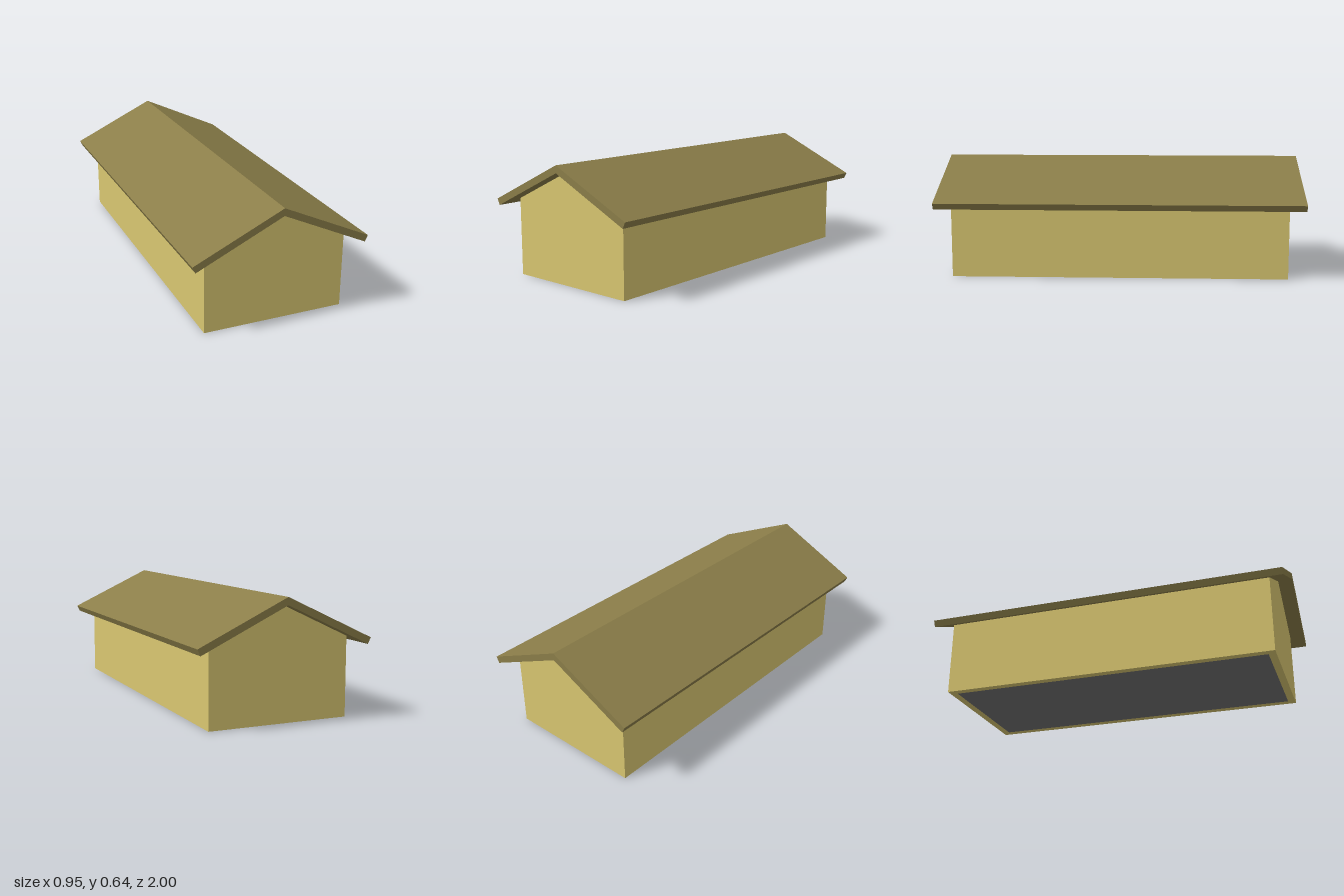
import * as THREE from 'three';

const WALL = 0xd9c771, ROOF = 0x8b7e49, FLOOR = 0x707070;
const HALF_W = 0.384, HALF_L = 0.92, THICK = 0.04;
const RIDGE = 0.6, SLOPE = 0.47;
const underRoof = (x) => RIDGE - SLOPE * Math.abs(x);

// Extrude an outline in the xy plane, centred on z
function prism(name, points, depth, color, z = 0) {
  const shape = new THREE.Shape(points.map(([x, y]) => new THREE.Vector2(x, y)));
  const geometry = new THREE.ExtrudeGeometry(shape, { depth, bevelEnabled: false });
  geometry.translate(0, 0, z - depth / 2);
  const mesh = new THREE.Mesh(geometry, new THREE.MeshStandardMaterial({ color }));
  mesh.name = name;
  return mesh;
}

export function createModel() {
  const model = new THREE.Group();
  model.name = 'gabledShed';

  // Gable ends, front and back
  const gable = [
    [-HALF_W, 0], [HALF_W, 0], [HALF_W, underRoof(HALF_W)],
    [0, RIDGE], [-HALF_W, underRoof(HALF_W)],
  ];
  for (const side of [1, -1]) {
    model.add(prism(side > 0 ? 'frontGable' : 'backGable', gable, THICK, WALL, side * (HALF_L - THICK / 2)));
  }

  // Long side walls, fitted between the gables
  const inner = HALF_W - THICK;
  for (const side of [1, -1]) {
    const outline = [
      [side * inner, 0], [side * HALF_W, 0],
      [side * HALF_W, underRoof(HALF_W)], [side * inner, underRoof(inner)],
    ];
    model.add(prism(side > 0 ? 'leftWall' : 'rightWall', outline, 2 * (HALF_L - THICK), WALL));
  }

  // Floor slab inside the walls
  const floor = new THREE.Mesh(
    new THREE.BoxGeometry(2 * inner, THICK, 2 * (HALF_L - THICK)),
    new THREE.MeshStandardMaterial({ color: FLOOR }),
  );
  floor.position.y = THICK / 2;
  floor.name = 'floor';
  model.add(floor);

  // Pitched roof with overhanging eaves, cut square to the slope
  const roof = [
    [0, 0.64], [-0.476, 0.417], [-0.46, underRoof(0.46)],
    [0, RIDGE], [0.46, underRoof(0.46)], [0.476, 0.417],
  ];
  model.add(prism('roof', roof, 2, ROOF));

  return model;
}
